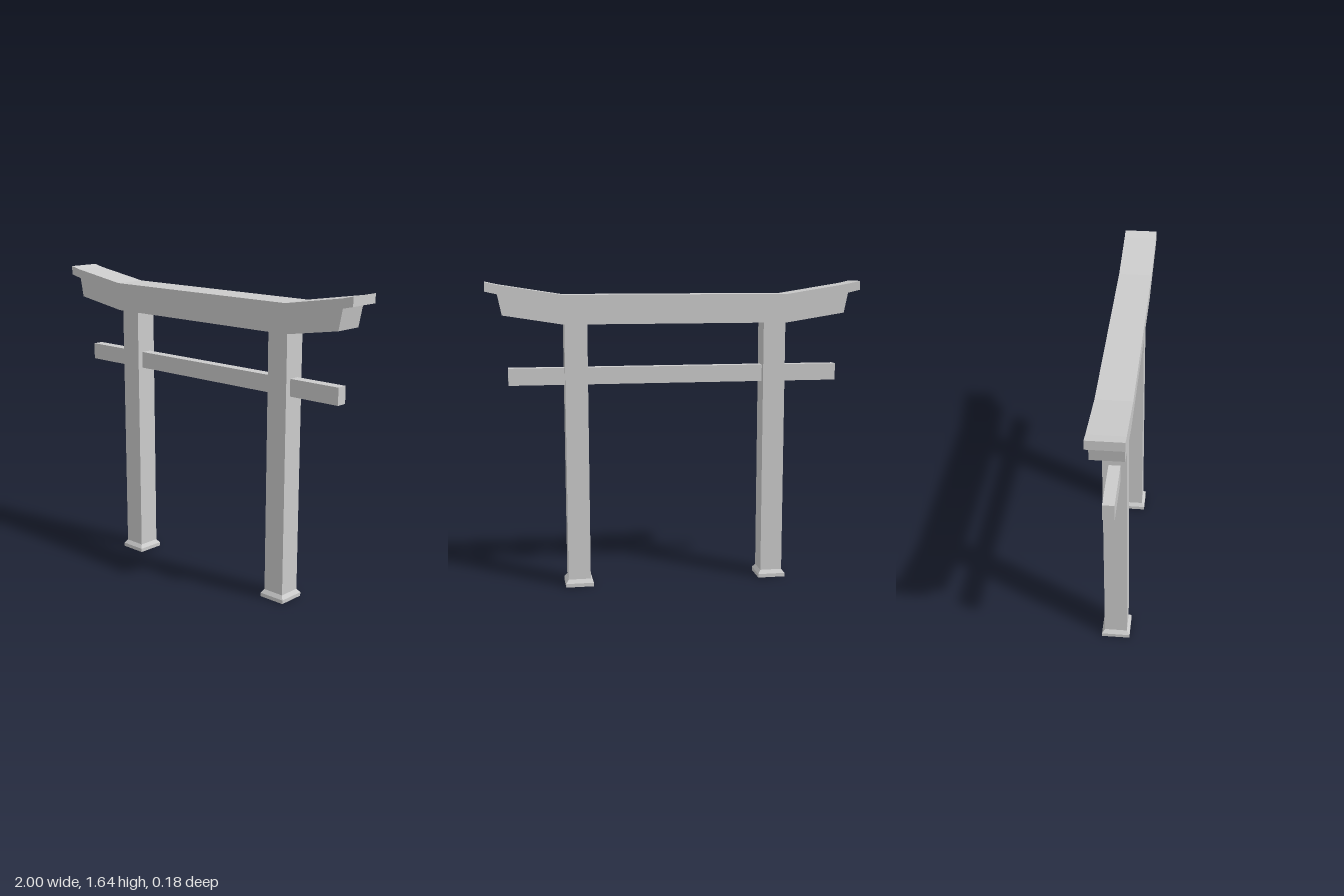
import * as THREE from 'three';

const material = new THREE.MeshStandardMaterial({ color: 0xcccccc, flatShading: true });

function addMesh(parent, name, geometry, x = 0, y = 0, z = 0) {
  const mesh = new THREE.Mesh(geometry, material);
  mesh.name = name;
  mesh.position.set(x, y, z);
  parent.add(mesh);
  return mesh;
}

// Beam with a side outline mirrored across x = 0, extruded along z.
// upper and lower list [x, y] points from the middle out to the +x end.
function mirroredBeam(upper, lower, depth) {
  const right = [...lower, ...[...upper].reverse()];
  const left = [...right].reverse().map(([x, y]) => [-x, y]);
  const shape = new THREE.Shape([...right, ...left].map(([x, y]) => new THREE.Vector2(x, y)));
  return new THREE.ExtrudeGeometry(shape, { depth, bevelEnabled: false }).translate(0, 0, -depth / 2);
}

// Square block whose top is narrower than its bottom.
function taperedBlock(bottom, top, height) {
  return new THREE.CylinderGeometry(top / Math.SQRT2, bottom / Math.SQRT2, height, 4).rotateY(Math.PI / 4);
}

export function createModel() {
  const model = new THREE.Group();
  model.name = 'gate';

  // Pillars on stepped feet
  for (const [side, s] of [['left', 1], ['right', -1]]) {
    const pillar = new THREE.Group();
    pillar.name = side + 'Pillar';
    pillar.position.x = s * 0.535;
    addMesh(pillar, 'footSlab', new THREE.BoxGeometry(0.15, 0.02, 0.15), 0, 0.01);
    addMesh(pillar, 'footBevel', taperedBlock(0.15, 0.12, 0.02), 0, 0.03);
    addMesh(pillar, 'post', new THREE.BoxGeometry(0.12, 1.38, 0.12), 0, 0.73);
    model.add(pillar);
  }

  // Straight tie beam passing through both pillars
  addMesh(model, 'tieBeam', new THREE.BoxGeometry(1.78, 0.09, 0.058), 0, 1.145);

  // Lower lintel with slanted, upswept ends
  addMesh(model, 'lowerLintel', mirroredBeam(
    [[0.6, 1.525], [0.937, 1.578]],
    [[0.6, 1.42], [0.915, 1.47]], 0.16));

  // Top lintel, curving up towards its tips
  addMesh(model, 'topLintel', mirroredBeam(
    [[0.6, 1.573], [0.937, 1.626], [1, 1.64]],
    [[0.6, 1.525], [0.937, 1.578], [1, 1.592]], 0.178));

  return model;
}
